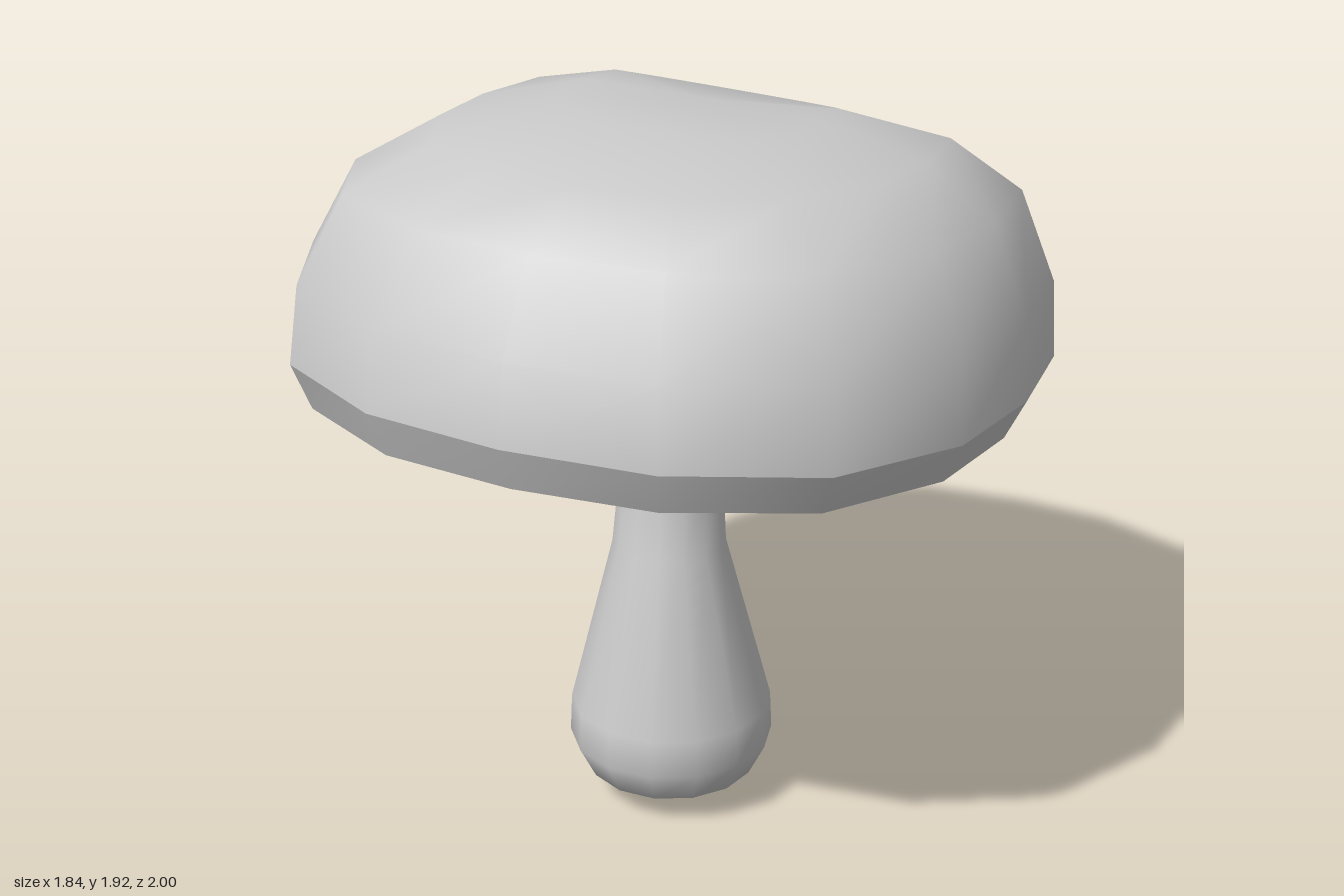
import * as THREE from 'three';
import { mergeVertices } from 'three/addons/utils/BufferGeometryUtils.js';

const material = new THREE.MeshStandardMaterial({ color: 0xcccccc, side: THREE.DoubleSide });

// Skin a list of rings (each an array of n points) with smooth normals.
function loft(name, rings) {
  const n = rings[0].length;
  const index = [];
  for (let r = 0; r < rings.length - 1; r++) {
    for (let i = 0; i < n; i++) {
      const a = r * n + i, b = r * n + (i + 1) % n;
      index.push(a, a + n, b, b, a + n, b + n);
    }
  }
  let geometry = new THREE.BufferGeometry().setFromPoints(rings.flat());
  geometry.setIndex(index);
  geometry = mergeVertices(geometry, 1e-4); // joins the pole points
  geometry.computeVertexNormals();
  const mesh = new THREE.Mesh(geometry, material);
  mesh.name = name;
  return mesh;
}

// Rounded oval ring of the cap: raised at the front, rolled sideways, drooping at the back.
function capRing([rx, rz, cz, y, front, back, roll]) {
  return Array.from({ length: 16 }, (_, i) => {
    const t = i / 16 * Math.PI * 2;
    const bulge = 1 + 0.07 * Math.sin(2 * t) ** 2;
    const c = Math.cos(t) * bulge, s = Math.sin(t) * bulge;
    const droop = Math.max(0, -s - 0.4) / 0.6 * (back - front);
    return new THREE.Vector3(rx * c, y + front * s - roll * c - droop, cz + rz * s);
  });
}

// Circular ring of the stem.
function stemRing([r, y, cz, tilt = 0]) {
  return Array.from({ length: 14 }, (_, i) => {
    const t = i / 14 * Math.PI * 2;
    return new THREE.Vector3(r * Math.cos(t), y + tilt * Math.sin(t), cz + r * Math.sin(t));
  });
}

export function createModel() {
  const group = new THREE.Group();
  group.name = 'mushroom';

  // rx, rz, centre z, height, front rise, back drop, sideways roll
  const lip = [0.875, 0.915, 0.035, 1.19, 0.06, 0.235, 0.02];
  const rim = [0.92, 0.99, 0.01, 1.295, 0.07, 0.255, 0.03];

  // Domed outer surface
  group.add(loft('capDome', [
    rim,
    [0.9, 0.985, -0.015, 1.49, 0.07, 0.25, 0.03],
    [0.8, 0.885, -0.045, 1.71, 0.06, 0.22, 0.02],
    [0.61, 0.69, -0.08, 1.825, 0.035, 0.175, 0.02],
    [0.33, 0.38, -0.12, 1.885, 0.02, 0.075, 0.02],
    [0, 0, -0.12, 1.89, 0, 0, 0],
  ].map(capRing)));

  // Bevelled band under the dome
  group.add(loft('capRim', [lip, rim].map(capRing)));

  // Hollow underside
  group.add(loft('capUnderside', [
    [0, 0, 0.05, 1.43, 0, 0, 0],
    [0.45, 0.48, 0.04, 1.4, 0.04, 0.1, 0.01],
    [0.72, 0.76, 0.035, 1.31, 0.05, 0.19, 0.02],
    lip,
  ].map(capRing)));

  // Bulbous stem flaring out beneath the cap: radius, height, centre z, tilt
  group.add(loft('stem', [
    [0, 0, 0.08],
    [0.13, 0.03, 0.08],
    [0.23, 0.085, 0.08],
    [0.275, 0.175, 0.08],
    [0.27, 0.28, 0.08],
    [0.15, 0.75, 0.09],
    [0.135, 0.95, 0.075],
    [0.12, 1.18, 0.065],
    [0.24, 1.26, 0.06, 0.01],
    [0.5, 1.35, 0.04, 0.05],
  ].map(stemRing)));

  return group;
}
